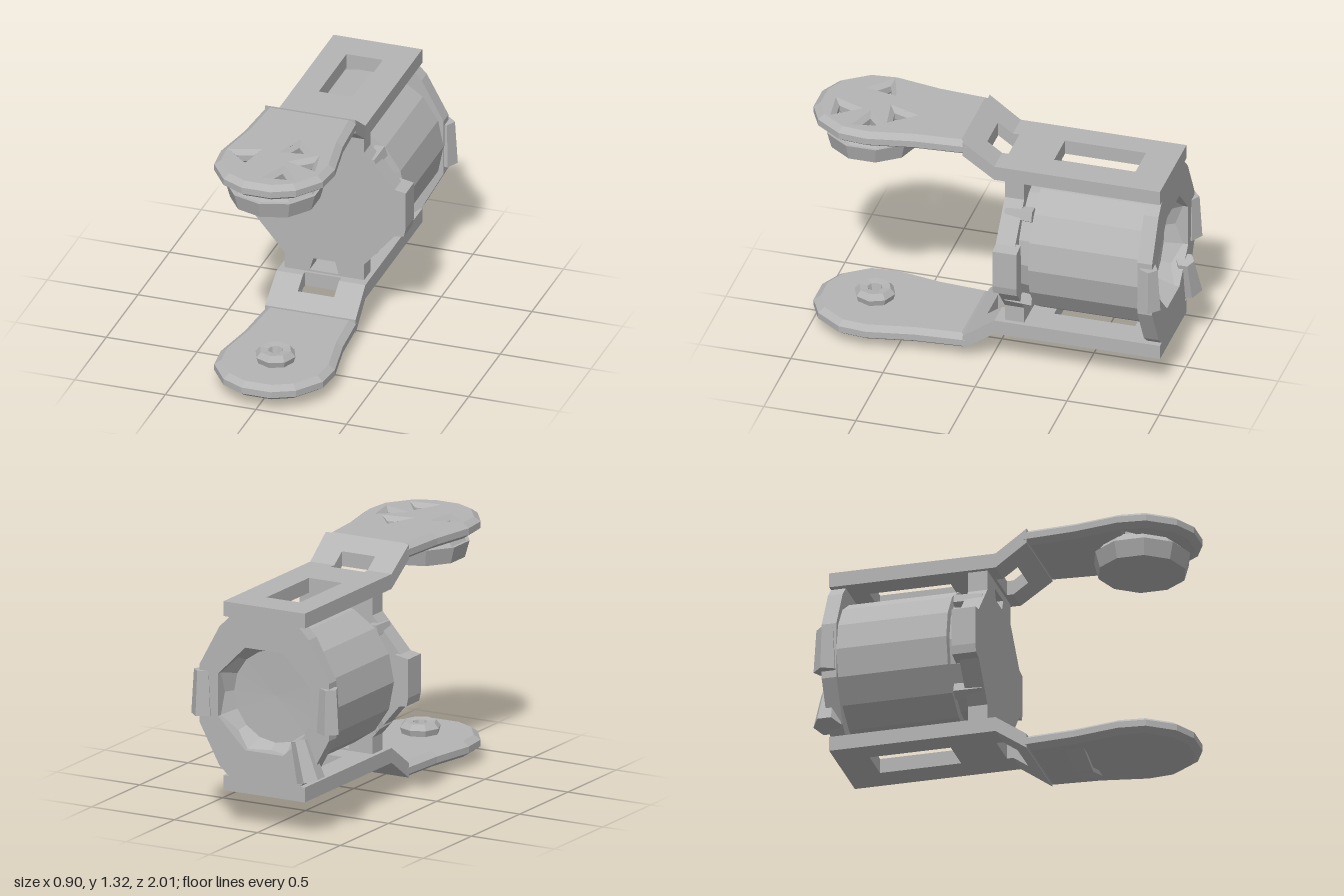
import * as THREE from 'three';

const gray = new THREE.MeshStandardMaterial({ color: 0xb4b4b4, flatShading: true, side: THREE.DoubleSide });
gray.name = 'satin gray';

function add(parent, name, geometry, x = 0, y = 0, z = 0) {
  const mesh = new THREE.Mesh(geometry, gray);
  mesh.name = name;
  mesh.position.set(x, y, z);
  parent.add(mesh);
  return mesh;
}

const toPoints = list => list.map(([x, y]) => new THREE.Vector2(x, y));

// Closed outline from its right half, mirrored to the left
function mirrored(half) {
  return new THREE.Shape(toPoints([...half, ...half.slice().reverse().map(([x, y]) => [-x, y])]));
}

function regularHole(x, y, r, sides, turn = 0) {
  const pts = [];
  for (let i = 0; i < sides; i++) {
    const a = turn - i / sides * Math.PI * 2;
    pts.push([x + r * Math.cos(a), y + r * Math.sin(a)]);
  }
  return new THREE.Path(toPoints(pts));
}

function rectHole(x0, y0, x1, y1) {
  return new THREE.Path(toPoints([[x0, y0], [x0, y1], [x1, y1], [x1, y0]]));
}

// Horizontal plate: the shape lies in x and z, the top sits at y = 0
function plate(shape, depth, bevel = 0) {
  const g = new THREE.ExtrudeGeometry(shape, {
    depth: depth - bevel * 2, bevelEnabled: bevel > 0, bevelThickness: bevel,
    bevelSize: 0.035, bevelOffset: -0.035, bevelSegments: 1, curveSegments: 4,
  });
  g.rotateX(Math.PI / 2);
  g.translate(0, -bevel, 0);
  return g;
}

// Stepped arm; railTop and padTop are the heights of its two levels
function makeArm(name, railTop, padTop, screwHoles) {
  const arm = new THREE.Group();
  arm.name = name;
  const z0 = -0.03, z1 = 0.14;

  // Rail with a long slot and a notch at the bend
  const rail = mirrored([[0.245, -0.93], [0.245, z0], [0.1, z0], [0.1, -0.065]]);
  rail.holes.push(rectHole(-0.11, -0.75, 0.09, -0.31));
  add(arm, 'rail', plate(rail, 0.08), 0, railTop);

  // Sloping bend, sheared between the two levels
  const ramp = plate(mirrored([[0.245, z0], [0.25, z1], [0, z1], [0, 0.05], [0.1, 0.05], [0.1, z0]]
    .filter(p => p[0] > 0)), 0.08);
  const bend = plate(new THREE.Shape(toPoints([
    [0.1, z0], [0.245, z0], [0.25, z1], [-0.25, z1], [-0.245, z0], [-0.1, z0], [-0.1, 0.05], [0.1, 0.05],
  ])), 0.08);
  ramp.dispose();
  const p = bend.attributes.position;
  for (let i = 0; i < p.count; i++) {
    const t = (p.getZ(i) - z0) / (z1 - z0);
    p.setY(i, p.getY(i) + railTop + (padTop - railTop) * t);
  }
  bend.computeVertexNormals();
  add(arm, 'bend', bend);

  // Rounded end pad
  const pad = mirrored([[0.25, z1 - 0.02], [0.27, 0.4], [0.315, 0.65], [0.3, 0.8], [0.2, 0.94], [0.08, 1]]);
  if (screwHoles) {
    for (const [x, z] of [[-0.17, 0.68], [0.17, 0.67], [-0.06, 0.54], [0.07, 0.54], [0.08, 0.84]]) {
      pad.holes.push(regularHole(x, z, 0.055, 3, x * 5));
    }
  }
  add(arm, 'endPad', plate(pad, 0.085, 0.025), 0, padTop);
  return arm;
}

// Upright plate from z0 to z1
function upright(shape, z0, z1) {
  const g = new THREE.ExtrudeGeometry(shape, { depth: z1 - z0, bevelEnabled: false });
  g.translate(0, 0, z0);
  return g;
}

export function createModel() {
  const model = new THREE.Group();
  model.name = 'motorBracket';

  // Two stepped arms
  const upper = makeArm('upperArm', 1.2, 1.32, true);
  const lower = makeArm('lowerArm', 0.26, 0.14, false);
  model.add(upper, lower);

  // Flared disc under the upper pad
  add(upper, 'hornDisc', new THREE.CylinderGeometry(0.26, 0.235, 0.09, 10), 0, 1.145, 0.695);
  add(upper, 'hornNeck', new THREE.CylinderGeometry(0.2, 0.25, 0.07, 10), 0, 1.215, 0.69);

  // Pivot boss and V-shaped catch on the lower pad
  const boss = new THREE.LatheGeometry(toPoints([[0.1, 0], [0.11, 0.035], [0.085, 0.065], [0.04, 0.06], [0.03, 0.02], [0, 0.02]]), 8);
  add(lower, 'pivotBoss', boss, 0, 0.138, 0.69);
  const catchShape = mirrored([[0.2, 0.06], [0.01, 0]].reverse());
  catchShape.holes.push(new THREE.Path(toPoints([[0, 0.022], [-0.12, 0.058], [0.12, 0.058]])));
  add(lower, 'catch', upright(catchShape, 0.33, 0.43));

  // Front plate with side shoulders and two slots
  const front = mirrored([
    [0.22, 0.25], [0.22, 0.35], [0.39, 0.55], [0.39, 0.82], [0.22, 1.01], [0.22, 1.13],
  ]);
  front.holes.push(new THREE.Path(toPoints([[-0.08, 0.27], [-0.06, 0.34], [0.06, 0.34], [0.08, 0.27]])));
  front.holes.push(new THREE.Path(toPoints([[-0.06, 1.02], [-0.08, 1.08], [0.08, 1.08], [0.06, 1.02]])));
  add(model, 'frontPlate', upright(front, -0.185, -0.08));

  // Barrel with a stepped front neck and a dished back
  const barrel = new THREE.LatheGeometry(toPoints([
    [0, 0.18], [0.34, 0.18], [0.35, 0.25], [0.39, 0.255], [0.39, 0.86],
    [0.31, 0.92], [0.25, 0.81], [0, 0.8],
  ]), 16);
  barrel.rotateX(-Math.PI / 2);
  add(model, 'barrel', barrel, 0, 0.69, 0);

  // Rear ring
  const ring = mirrored([
    [0.2, 0.25], [0.27, 0.31], [0.39, 0.53], [0.39, 0.84], [0.27, 1.06], [0.2, 1.13],
  ]);
  ring.holes.push(regularHole(0, 0.69, 0.3, 8, Math.PI / 8));
  add(model, 'rearRing', upright(ring, -0.93, -0.85));

  // Side tabs, screws and rear lugs on both sides
  for (const s of [1, -1]) {
    const tab = new THREE.Shape(toPoints([[0.36, 0.54], [0.44, 0.555], [0.45, 0.6], [0.45, 0.81], [0.37, 0.825]]
      .map(([x, y]) => [x * s, y])));
    add(model, 'frontTab', upright(tab, -0.21, -0.08));
    const lug = add(model, 'rearLug', new THREE.CylinderGeometry(0.05, 0.065, 0.24, 5), s * 0.38, 0.69, -0.91);
    lug.rotation.y = s * 0.5;
    for (const y of [0.43, 0.94]) {
      const screw = add(model, 'screw', new THREE.CylinderGeometry(0.035, 0.045, 0.15, 5), s * 0.25, y, -0.17);
      screw.rotation.x = Math.PI / 2;
    }
  }

  // Cable outlet low on the back
  const outlet = add(model, 'cableOutlet', new THREE.CylinderGeometry(0.05, 0.075, 0.22, 6), -0.25, 0.41, -0.93);
  outlet.rotation.z = -0.3;
  return model;
}
